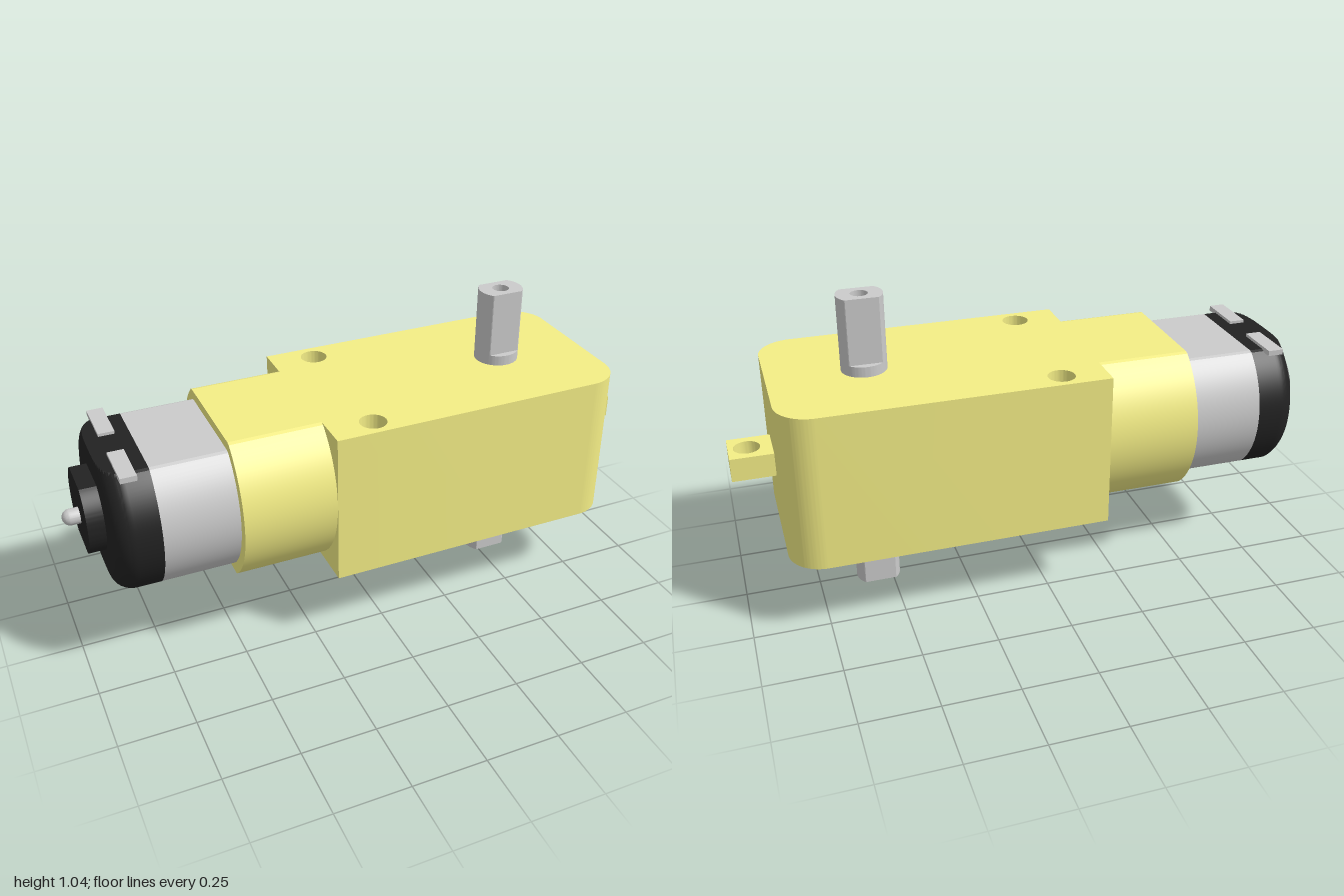
import * as THREE from 'three';
import { toCreasedNormals } from 'three/addons/utils/BufferGeometryUtils.js';

const mat = (color) => new THREE.MeshStandardMaterial({ color });

export function createModel() {
  const model = new THREE.Group();
  const yellow = mat(0xf4ee86), grey = mat(0xcccccc), black = mat(0x222222);

  const add = (name, geometry, material, x = 0, y = 0, z = 0) => {
    const mesh = new THREE.Mesh(geometry, material);
    mesh.name = name;
    mesh.position.set(x, y, z);
    model.add(mesh);
    return mesh;
  };

  // Turned part around y, optionally cut by two flats at x = +-half
  const turned = (profile, half = Infinity) => {
    const g = new THREE.LatheGeometry(profile.map(([r, s]) => new THREE.Vector2(r, s)), 128);
    const p = g.attributes.position;
    for (let i = 0; i < p.count; i++) p.setX(i, THREE.MathUtils.clamp(p.getX(i), -half, half));
    return toCreasedNormals(g, 0.17);
  };
  // The same, lying along x with flats above and below; profile runs towards -x
  const lying = (profile, half) => turned(profile, half).rotateZ(Math.PI / 2);
  const rod = (r, s0, s1) => [[0, s0], [r, s0], [r, s1], [0, s1]];

  // Plate in the x/z plane with round holes, extruded upwards
  const plate = (shape, holes, height) => {
    for (const [x, z, r] of holes) {
      shape.holes.push(new THREE.Path().absarc(x, z, r, 0, Math.PI * 2, true));
    }
    const g = new THREE.ExtrudeGeometry(shape, { depth: height, bevelEnabled: false, curveSegments: 24 });
    return toCreasedNormals(g.rotateX(-Math.PI / 2), 0.5);
  };

  // Gearbox housing, rounded at the output end
  const w = 0.317, c = 0.115, x0 = -0.19, x1 = 0.86;
  const body = new THREE.Shape();
  body.moveTo(x0, -w);
  body.lineTo(x1 - c, -w);
  body.absarc(x1 - c, -w + c, c, -Math.PI / 2, 0, false);
  body.absarc(x1 - c, w - c, c, 0, Math.PI / 2, false);
  body.lineTo(x0, w);
  body.closePath();
  add('gearboxHousing', plate(body, [[-0.04, 0.25, 0.045], [-0.04, -0.25, 0.045]], 0.525), yellow, 0, 0.26);

  // Mounting tab with a screw hole
  const tab = new THREE.Shape();
  tab.moveTo(0.86, -0.07);
  tab.lineTo(1, -0.07);
  tab.lineTo(1, 0.07);
  tab.lineTo(0.86, 0.07);
  tab.closePath();
  add('mountingTab', plate(tab, [[0.94, 0, 0.043]], 0.08), yellow, 0, 0.48);

  // Locating peg under the housing
  add('locatingPeg', turned([[0, 0], [0.045, 0], [0.052, 0.003], [0.055, 0.01], [0.055, 0.06]]),
    yellow, 0.225, 0.205);

  // Motor: sleeve, can, end cap, bearing boss and rear shaft
  const my = 0.5395;
  add('motorSleeve', lying(rod(0.315, 0.185, 0.5), 0.2475), yellow, 0, 0.5375);
  add('motorCan', lying(rod(0.281, 0.48, 0.746), 0.2125), grey, 0, my);
  const cap = [[0, 0.746], [0.281, 0.746]], b = 0.065;
  for (let i = 0; i <= 12; i++) {
    const a = (i / 12) * Math.PI / 2;
    cap.push([0.281 - b + b * Math.cos(a), 0.89 - b + b * Math.sin(a)]);
  }
  cap.push([0, 0.89]);
  add('motorEndCap', lying(cap, 0.2125), black, 0, my);
  add('bearingBoss', lying(rod(0.14, 0.88, 0.945), 0.12), black, 0, my);
  const tip = [[0, 0.93], [0.027, 0.93]];
  for (let i = 0; i <= 10; i++) {
    const a = (i / 10) * Math.PI / 2;
    tip.push([0.027 * Math.cos(a), 0.973 + 0.027 * Math.sin(a)]);
  }
  add('motorShaft', lying(tip), grey, 0, 0.5225);

  // Solder terminals on top of the end cap
  for (const side of [1, -1]) {
    add(side > 0 ? 'frontTerminal' : 'backTerminal',
      new THREE.BoxGeometry(0.053, 0.018, 0.165), grey, -0.818, 0.753, side * 0.1425);
  }

  // Output axle: round collar and two flatted ends with blind bores
  const ax = 0.545, ay = 0.52;
  add('axleCollar', turned(rod(0.075, -0.298, 0.3)), grey, ax, ay);
  const end = turned([[0.075, 0.298], [0.075, 0.52], [0.028, 0.52], [0.028, 0.32], [0, 0.32]], 0.052)
    .rotateY(Math.PI / 2);
  add('upperAxleEnd', end, grey, ax, ay);
  add('lowerAxleEnd', end, grey, ax, ay).rotation.x = Math.PI;

  return model;
}
